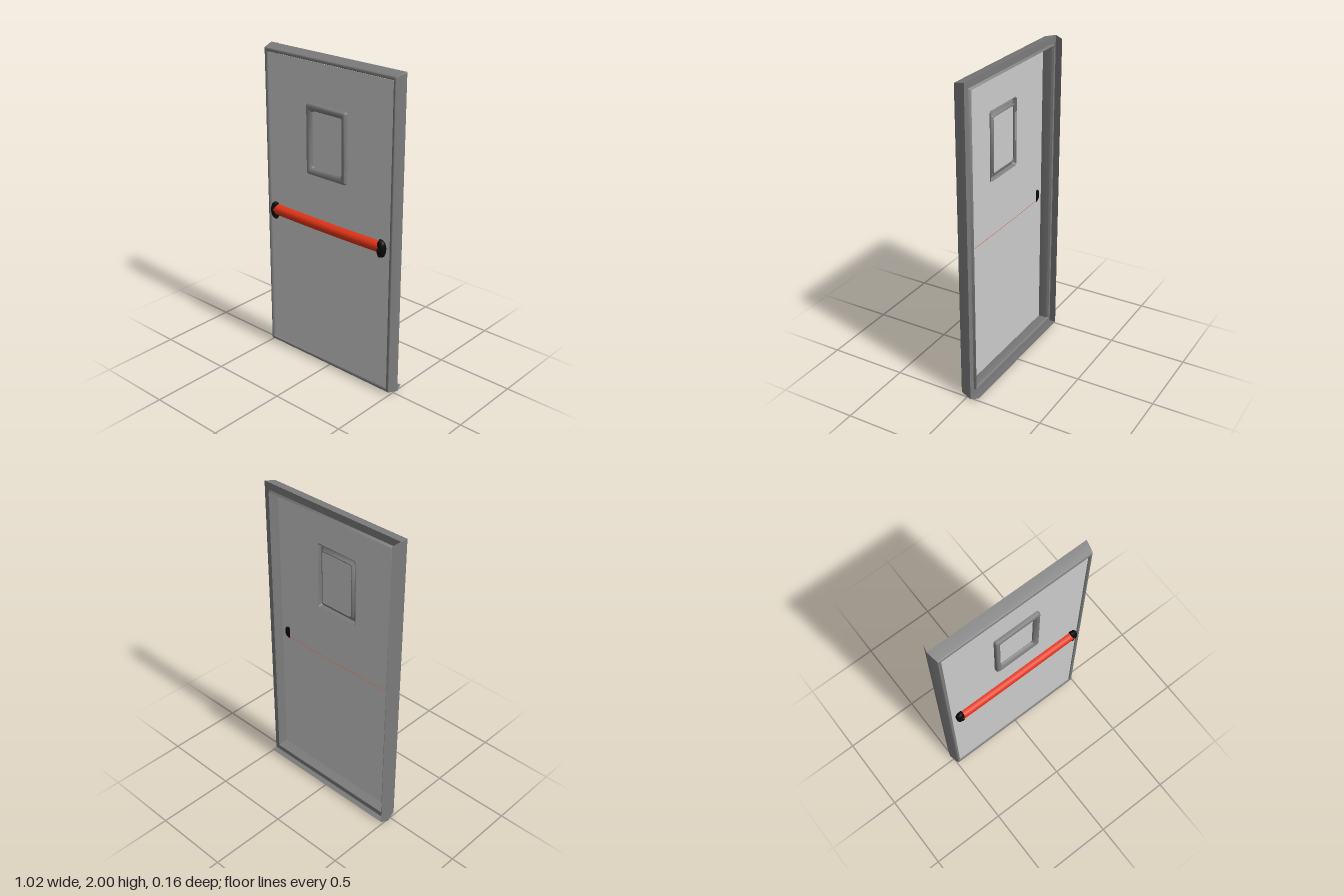
import * as THREE from 'three';
import { toCreasedNormals } from 'three/addons/utils/BufferGeometryUtils.js';

const grey = new THREE.MeshStandardMaterial({ color: 0xcccccc, side: THREE.DoubleSide });
const dark = new THREE.MeshStandardMaterial({ color: 0x7c7c7c });
const darkThin = new THREE.MeshStandardMaterial({ color: 0x7c7c7c, side: THREE.DoubleSide });
const red = new THREE.MeshStandardMaterial({ color: 0xe03418, side: THREE.DoubleSide });
const black = new THREE.MeshStandardMaterial({ color: 0x080808 });

function add(parent, name, geometry, material) {
  const mesh = new THREE.Mesh(geometry, material);
  mesh.name = name;
  parent.add(mesh);
  return mesh;
}

function creased(positions, angle) {
  const geometry = new THREE.BufferGeometry();
  geometry.setAttribute('position', new THREE.Float32BufferAttribute(positions, 3));
  geometry.computeVertexNormals();
  return toCreasedNormals(geometry, angle);
}

// Sweeps a profile of [inset, z] points round a mitred rectangle with clipped corners;
// the inset at top and bottom is multiplied by "tall"
function rectSweep(profile, halfW, y0, y1, clip, tall) {
  const rings = profile.map(([d, z]) => {
    const w = halfW - d, b = y0 + d * tall, t = y1 - d * tall;
    return [[-w + clip, b], [w - clip, b], [w, b + clip], [w, t - clip],
      [w - clip, t], [-w + clip, t], [-w, t - clip], [-w, b + clip]].map(([x, y]) => [x, y, z]);
  });
  const pos = [];
  for (let i = 0; i < rings.length - 1; i++) {
    for (let k = 0; k < 8; k++) {
      const n = (k + 1) % 8;
      const [a, b, c, d] = [rings[i][k], rings[i][n], rings[i + 1][n], rings[i + 1][k]];
      pos.push(...a, ...b, ...c, ...a, ...c, ...d);
    }
  }
  return creased(pos, 0.7);
}

function rectPath(path, halfW, y0, y1) {
  path.moveTo(-halfW, y0);
  path.lineTo(halfW, y0);
  path.lineTo(halfW, y1);
  path.lineTo(-halfW, y1);
  path.closePath();
  return path;
}

export function createModel() {
  const door = new THREE.Group();
  door.name = 'door';

  // Frame: outer face, rounded front lip, inner wall, stop bead and back rim
  add(door, 'frame', rectSweep([
    [0, -0.03], [0.013, 0.033], [0.016, 0.041], [0.021, 0.045], [0.027, 0.045],
    [0.033, 0.041], [0.036, 0.034], [0.04, -0.03], [0.05, -0.03], [0.047, -0.045],
    [0.04, -0.03], [0, -0.03],
  ], 0.51, 0, 2, 0.002, 1.1), dark);

  // Rear flange, along the right side and the bottom only
  const ridge = [[-0.51, 2, -0.03], [-0.51, 0, -0.03], [0.51, 0, -0.03]];
  const rear = [[-0.495, 1.985, -0.08], [-0.495, 0.015, -0.08], [0.495, 0.015, -0.08]];
  const flange = [];
  for (let i = 0; i < 2; i++) {
    flange.push(...ridge[i], ...ridge[i + 1], ...rear[i + 1], ...ridge[i], ...rear[i + 1], ...rear[i]);
  }
  add(door, 'rearFlange', creased(flange, 0.7), darkThin);

  // Thin door leaf with a window opening
  const leaf = rectPath(new THREE.Shape(), 0.473, 0.04, 1.96);
  leaf.holes.push(rectPath(new THREE.Path(), 0.145, 1.285, 1.71));
  add(door, 'leaf', new THREE.ShapeGeometry(leaf), grey).position.z = 0.035;

  // Rounded window trim, hollow at the back
  add(door, 'windowTrim', rectSweep([
    [0, 0.03], [0, 0.051], [0.003, 0.058], [0.009, 0.062], [0.018, 0.062],
    [0.027, 0.056], [0.033, 0.047], [0.036, 0.034], [0.036, 0.03], [0.032, 0.03],
    [0.024, 0.046], [0.01, 0.052], [0.002, 0.03],
  ], 0.15, 1.28, 1.715, 0.009, 1.25), dark);

  // Window pane
  add(door, 'windowPane', new THREE.PlaneGeometry(0.238, 0.36), grey)
    .position.set(0, 1.4975, 0.037);

  // Push bar: full half-round section, sagging slightly towards the middle
  const bar = new THREE.CylinderGeometry(1, 1, 0.84, 20, 12, true, 0, Math.PI);
  bar.rotateZ(Math.PI / 2);
  bar.rotateX(Math.PI / 2);
  const p = bar.attributes.position;
  for (let i = 0; i < p.count; i++) {
    const x = p.getX(i), y = p.getY(i), z = Math.max(0, p.getZ(i));
    const sag = 0.004 * Math.cos((x / 0.42) * Math.PI / 2);
    p.setXYZ(i, x, 0.97 - sag + y * 0.035, 0.0355 + 0.003 * y + Math.pow(z, 0.75) * 0.0425);
  }
  bar.computeVertexNormals();
  add(door, 'pushBar', bar, red);

  // End caps with a stepped, rounded outer side
  const capProfile = [[0, 0], [0.85, 0], [1, 0.006], [1, 0.016], [0.94, 0.018],
    [0.94, 0.026], [0.82, 0.036], [0.55, 0.044], [0, 0.046]].map(([r, h]) => new THREE.Vector2(r, h));
  for (const side of [1, -1]) {
    const cap = new THREE.LatheGeometry(capProfile, 20);
    cap.rotateZ(-side * Math.PI / 2);
    cap.scale(1, 0.057, 0.026);
    add(door, side > 0 ? 'leftEndCap' : 'rightEndCap', cap, black)
      .position.set(side * 0.407, 0.965, 0.052);
  }

  return door;
}
